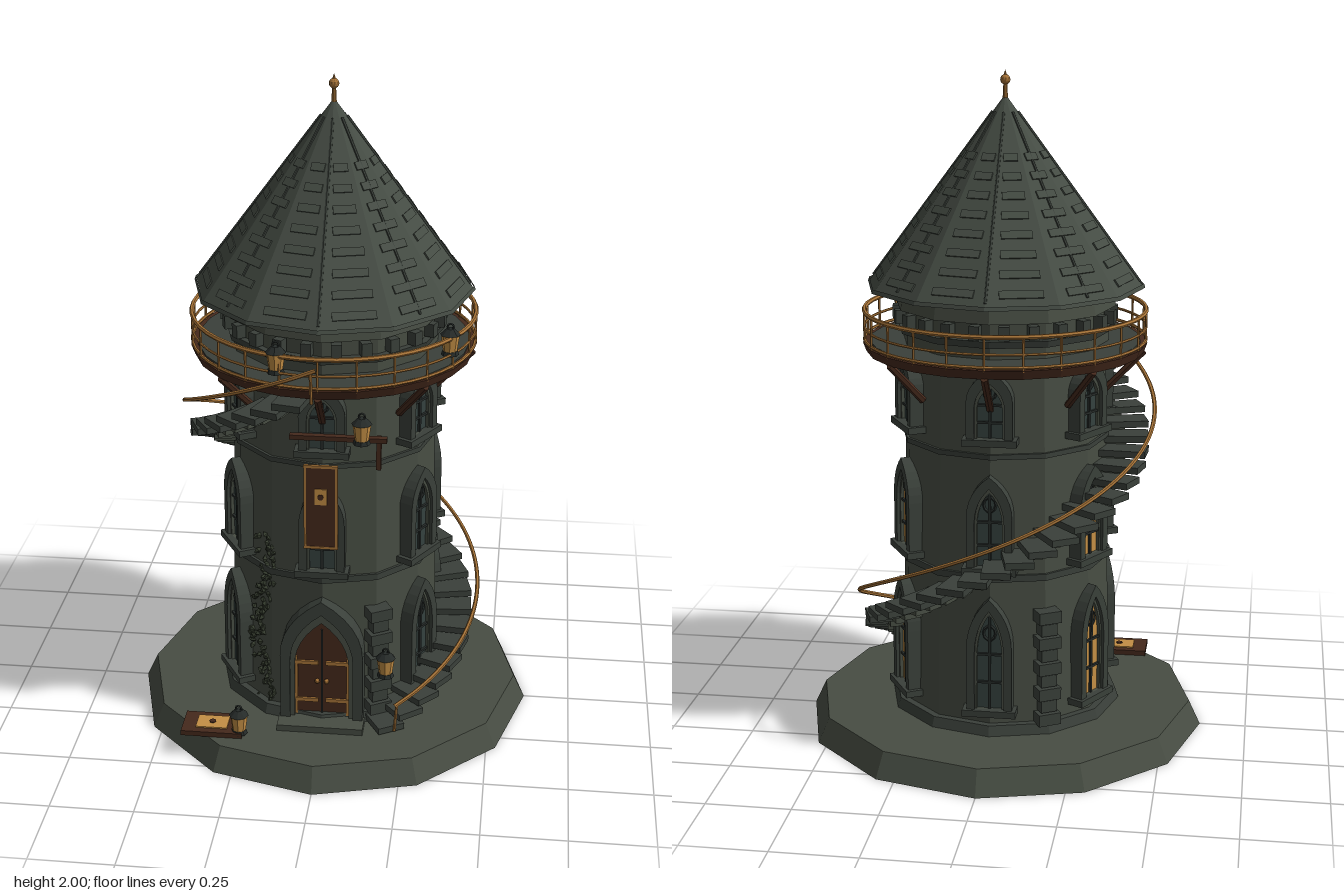
import * as THREE from 'three';

const mat = (name, color) => Object.assign(new THREE.MeshStandardMaterial({ color, flatShading: true }), { name });
const stone = mat('stone', 0x474d43);
const trim = mat('darkStone', 0x3a403a);
const roofMat = mat('slate', 0x454c44);
const iron = mat('iron', 0x262b29);
const wood = mat('wood', 0x45291c);
const gold = mat('brass', 0xa87438);
const glow = mat('litGlass', 0xc48f45);
const glass = mat('darkGlass', 0x35423f);
const leaf = mat('ivy', 0x353c2e);
roofMat.side = THREE.DoubleSide;

const rad = THREE.MathUtils.degToRad;
const wallR = y => 0.326 - 0.022 * y;

function add(parent, name, geo, material, x = 0, y = 0, z = 0) {
  const m = new THREE.Mesh(geo, material);
  m.name = name;
  m.position.set(x, y, z);
  parent.add(m);
  return m;
}
const box = (p, name, m, w, h, d, x, y, z) => add(p, name, new THREE.BoxGeometry(w, h, d), m, x, y, z);
const drum = (p, name, m, top, bottom, y0, y1, sides = 12) =>
  add(p, name, new THREE.CylinderGeometry(top, bottom, y1 - y0, sides), m, 0, (y0 + y1) / 2, 0);

// A group on the wall whose local +z points outward; 0 degrees is the front
function spot(parent, name, deg, r, y) {
  const g = new THREE.Group();
  g.name = name;
  g.position.set(r * Math.sin(rad(deg)), y, r * Math.cos(rad(deg)));
  g.rotation.y = rad(deg);
  parent.add(g);
  return g;
}

// A round bar between two points
function bar(parent, name, m, a, b, r) {
  const A = new THREE.Vector3(...a), B = new THREE.Vector3(...b);
  const o = add(parent, name, new THREE.CylinderGeometry(r, r, A.distanceTo(B), 6), m);
  o.position.copy(A).add(B).multiplyScalar(0.5);
  o.quaternion.setFromUnitVectors(new THREE.Vector3(0, 1, 0), B.sub(A).normalize());
}

// Pointed arch outline, standing on y = base
function arch(w, h, base = 0, C = THREE.Shape) {
  const s = new C(), k = base + (h - base) * 0.55;
  s.moveTo(-w / 2, base);
  s.lineTo(w / 2, base);
  s.lineTo(w / 2, k);
  s.quadraticCurveTo(w / 2, k + (h - k) * 0.6, 0, h);
  s.quadraticCurveTo(-w / 2, k + (h - k) * 0.6, -w / 2, k);
  s.closePath();
  return s;
}
const extrude = (s, depth) => new THREE.ExtrudeGeometry(s, { depth, bevelEnabled: false, curveSegments: 6 });
function archFrame(w, h, t, depth) {
  const s = arch(w, h);
  s.holes.push(arch(w - 2 * t, h - t * 1.5, 0.005, THREE.Path));
  return extrude(s, depth);
}

function archWindow(parent, deg, y, h, pane) {
  const g = spot(parent, 'window', deg, wallR(y + h / 2), y);
  add(g, 'windowFrame', archFrame(0.135, h, 0.024, 0.055), trim, 0, 0, -0.03);
  add(g, 'innerFrame', archFrame(0.094, h - 0.034, 0.01, 0.045), stone, 0, 0, -0.03);
  add(g, 'pane', extrude(arch(0.085, h - 0.04), 0.009), pane, 0, 0, -0.004);
  box(g, 'mullion', iron, 0.008, h - 0.05, 0.01, 0, h / 2 - 0.025, 0.007);
  for (const f of [0.25, 0.5]) box(g, 'transom', iron, 0.08, 0.007, 0.01, 0, h * f, 0.007);
  const ring = add(g, 'tracery', new THREE.TorusGeometry(0.018, 0.004, 4, 10), iron, 0, h * 0.69, 0.008);
  ring.scale.y = 1.2;
  box(g, 'sill', trim, 0.16, 0.02, 0.07, 0, -0.005, 0);
}

function lantern(parent, x, y, z) {
  const g = new THREE.Group();
  g.name = 'lantern';
  g.position.set(x, y, z);
  parent.add(g);
  add(g, 'lanternBase', new THREE.CylinderGeometry(0.022, 0.026, 0.012, 8), iron, 0, -0.034, 0);
  add(g, 'lanternGlass', new THREE.CylinderGeometry(0.027, 0.02, 0.052, 8), glow, 0, -0.004, 0);
  add(g, 'lanternCap', new THREE.CylinderGeometry(0.012, 0.03, 0.018, 8), iron, 0, 0.03, 0);
  add(g, 'lanternRing', new THREE.TorusGeometry(0.009, 0.003, 4, 8), iron, 0, 0.044, 0);
}

export function createModel() {
  const root = new THREE.Group();
  root.name = 'tower';

  // Ground slab and tower body
  drum(root, 'base', stone, 0.575, 0.61, 0, 0.075);
  drum(root, 'plinth', trim, 0.345, 0.355, 0.075, 0.105);
  drum(root, 'wall', stone, wallR(1.2), wallR(0.1), 0.1, 1.2);
  drum(root, 'band', trim, 0.322, 0.322, 0.545, 0.565);
  drum(root, 'band', trim, 0.314, 0.314, 0.915, 0.93);
  drum(root, 'upperWall', stone, 0.31, 0.31, 1.2, 1.33);
  drum(root, 'upperBand', trim, 0.33, 0.325, 1.245, 1.265);
  drum(root, 'parapet', stone, 0.322, 0.33, 1.315, 1.36);
  for (let a = 7.5; a < 360; a += 15) box(spot(root, 'corbel', a, 0.32, 1.29), 'corbelBlock', trim, 0.03, 0.04, 0.03, 0, 0, 0);

  // Six windows on each floor, with the door in place of the lowest front one
  const lit = [120, 240];
  for (let a = 0; a < 360; a += 60) {
    if (a) archWindow(root, a, 0.15, 0.35, lit.includes(a) ? glow : glass);
    archWindow(root, a, 0.59, 0.28, lit.includes(a) ? glow : glass);
    archWindow(root, a, 0.975, 0.205, glass);
  }

  // Front door
  const door = spot(root, 'door', 0, 0.32, 0.078);
  add(door, 'doorSurround', archFrame(0.25, 0.42, 0.03, 0.07), trim, 0, 0, -0.04);
  add(door, 'doorArch', archFrame(0.2, 0.37, 0.018, 0.06), stone, 0, 0, -0.04);
  add(door, 'doorLeaves', extrude(arch(0.18, 0.345), 0.04), wood, 0, 0, -0.035);
  box(door, 'doorSeam', iron, 0.006, 0.31, 0.006, 0, 0.16, 0.007);
  for (const s of [-1, 1]) {
    for (const y of [0.07, 0.2]) box(door, 'hinge', gold, 0.07, 0.012, 0.008, s * 0.046, y, 0.008);
    box(door, 'doorPanel', gold, 0.008, 0.2, 0.006, s * 0.078, 0.12, 0.007);
    add(door, 'doorKnob', new THREE.SphereGeometry(0.008, 8, 6), gold, s * 0.014, 0.14, 0.014);
  }
  box(door, 'doorStep', stone, 0.26, 0.02, 0.07, 0, 0.008, 0.045);

  // Stacked quoin buttresses
  for (const a of [30, 210]) for (let i = 0; i < 9; i++)
    box(spot(root, 'buttress', a, 0.33, 0.12 + i * 0.04), 'quoin', trim, i % 2 ? 0.05 : 0.07, 0.036, i % 2 ? 0.04 : 0.055, 0, 0, 0);

  // Winding stair with handrail, one turn up to the balcony
  const railY = a => 0.18 + (a - 30) / 300;
  const steps = 36;
  for (let i = 0; i < steps; i++) {
    const a = 30 + i * 318 / (steps - 1);
    const s = spot(root, 'stair', a, 0.36, railY(a) - 0.09);
    box(s, 'tread', trim, 0.085, 0.02, 0.145, 0, 0, 0);
    box(s, 'treadBracket', stone, 0.035, 0.03, 0.07, 0, -0.022, -0.03);
  }
  const at = (a, r, y) => [r * Math.sin(rad(a)), y, r * Math.cos(rad(a))];
  const path = [];
  for (let a = 30; a <= 360; a += 10) path.push(new THREE.Vector3(...at(a, 0.45, railY(a))));
  add(root, 'stairRail', new THREE.TubeGeometry(new THREE.CatmullRomCurve3(path), 120, 0.0065, 6), gold);
  for (const a of [31, 358]) bar(root, 'railPost', gold, at(a, 0.435, railY(a) - 0.1), at(a, 0.45, railY(a)), 0.005);

  // Balcony deck, railing and struts
  drum(root, 'balconyDeck', wood, 0.425, 0.415, 1.178, 1.205, 24);
  drum(root, 'deckFloor', trim, 0.405, 0.405, 1.205, 1.21, 24);
  for (const [y, t] of [[1.3, 0.007], [1.25, 0.004], [1.213, 0.005]])
    add(root, 'balconyRail', new THREE.TorusGeometry(0.42, t, 6, 48), gold, 0, y, 0).rotation.x = Math.PI / 2;
  for (let a = 0; a < 360; a += 15) bar(root, 'baluster', gold, at(a, 0.42, 1.2), at(a, 0.42, 1.3), 0.004);
  for (let a = 0; a < 360; a += 45) bar(root, 'strut', wood, at(a, 0.3, 1.06), at(a, 0.415, 1.18), 0.011);

  // Roof with ridges and rows of slates
  const y0 = 1.375, y1 = 1.93, R = 0.41;
  add(root, 'roof', new THREE.ConeGeometry(R, y1 - y0, 12, 1, true), roofMat, 0, (y0 + y1) / 2, 0);
  add(root, 'eaves', new THREE.CylinderGeometry(R + 0.002, R + 0.006, 0.012, 12, 1, true), roofMat, 0, y0 + 0.002, 0);
  const coneR = (a, y) => {
    const off = rad((a % 30) - 15);
    return R * (y1 - y) / (y1 - y0) * Math.cos(rad(15)) / Math.cos(off);
  };
  for (let a = 0; a < 360; a += 45)
    bar(root, 'ridge', trim, at(a, coneR(a, 1.39), 1.39), at(a, coneR(a, 1.88), 1.88), 0.005);
  const tilt = -Math.atan(R / (y1 - y0));
  for (let row = 0; row < 8; row++) for (let a = 15; a < 360; a += 30) {
    const y = 1.41 + row * 0.05, r = coneR(a, y);
    const s = spot(root, 'slates', a, r, y);
    box(s, 'slateRow', roofMat, r * 0.34, 0.024, 0.009, 0, 0, 0).rotation.x = tilt;
  }

  // Finial
  add(root, 'finialRod', new THREE.CylinderGeometry(0.005, 0.008, 0.06, 8), gold, 0, 1.945, 0);
  add(root, 'finialBall', new THREE.SphereGeometry(0.015, 10, 8), gold, 0, 1.972, 0);
  add(root, 'finialTip', new THREE.ConeGeometry(0.006, 0.018, 8), gold, 0, 1.991, 0);

  // Hanging banner with a plain emblem
  const banner = spot(root, 'banner', 0, 0.345, 0.81);
  box(banner, 'bannerCloth', wood, 0.09, 0.26, 0.008, 0, 0, 0);
  for (const s of [-1, 1]) {
    box(banner, 'bannerEdge', gold, 0.007, 0.26, 0.009, s * 0.046, 0, 0.001);
    box(banner, 'bannerHem', gold, 0.1, 0.008, 0.009, 0, s * 0.13, 0.001);
  }
  box(banner, 'emblem', glow, 0.036, 0.05, 0.006, 0, 0.035, 0.004);
  add(banner, 'emblemDot', new THREE.CylinderGeometry(0.009, 0.009, 0.006, 8), wood, 0, 0.035, 0.007).rotation.x = Math.PI / 2;

  // Lanterns and the wall bracket
  box(root, 'bracketArm', wood, 0.28, 0.014, 0.02, 0.05, 1.03, 0.34);
  box(root, 'bracketPost', wood, 0.014, 0.1, 0.02, 0.165, 0.98, 0.32);
  for (const p of [[0.12, 1.07, 0.37], [0.195, 0.31, 0.365], [-0.12, 1.285, 0.39], [0.355, 1.285, 0.2], [-0.24, 0.122, 0.43]]) lantern(root, ...p);

  // Board with a pale sheet on the ground
  box(root, 'board', wood, 0.185, 0.016, 0.11, -0.322, 0.083, 0.4);
  box(root, 'sheet', glow, 0.095, 0.004, 0.065, -0.325, 0.093, 0.4);
  add(root, 'sheetMark', new THREE.CylinderGeometry(0.01, 0.01, 0.004, 8), wood, -0.325, 0.096, 0.4);

  // Ivy climbing the front wall
  let seed = 7;
  const rnd = () => (seed = (seed * 16807) % 2147483647) / 2147483647;
  const leafGeo = new THREE.OctahedronGeometry(0.014);
  for (let i = 0; i < 90; i++) {
    const y = 0.1 + 0.57 * i / 90;
    const a = -38 + 4 * Math.sin(y * 14) + (rnd() - 0.5) * 13;
    const s = spot(root, 'ivy', a, wallR(y) - 0.003, y);
    const l = add(s, 'ivyLeaf', leafGeo, leaf);
    l.rotation.set(rnd() * 3, rnd() * 3, rnd() * 3);
    l.scale.set(1, 0.8, 0.6);
  }
  return root;
}
